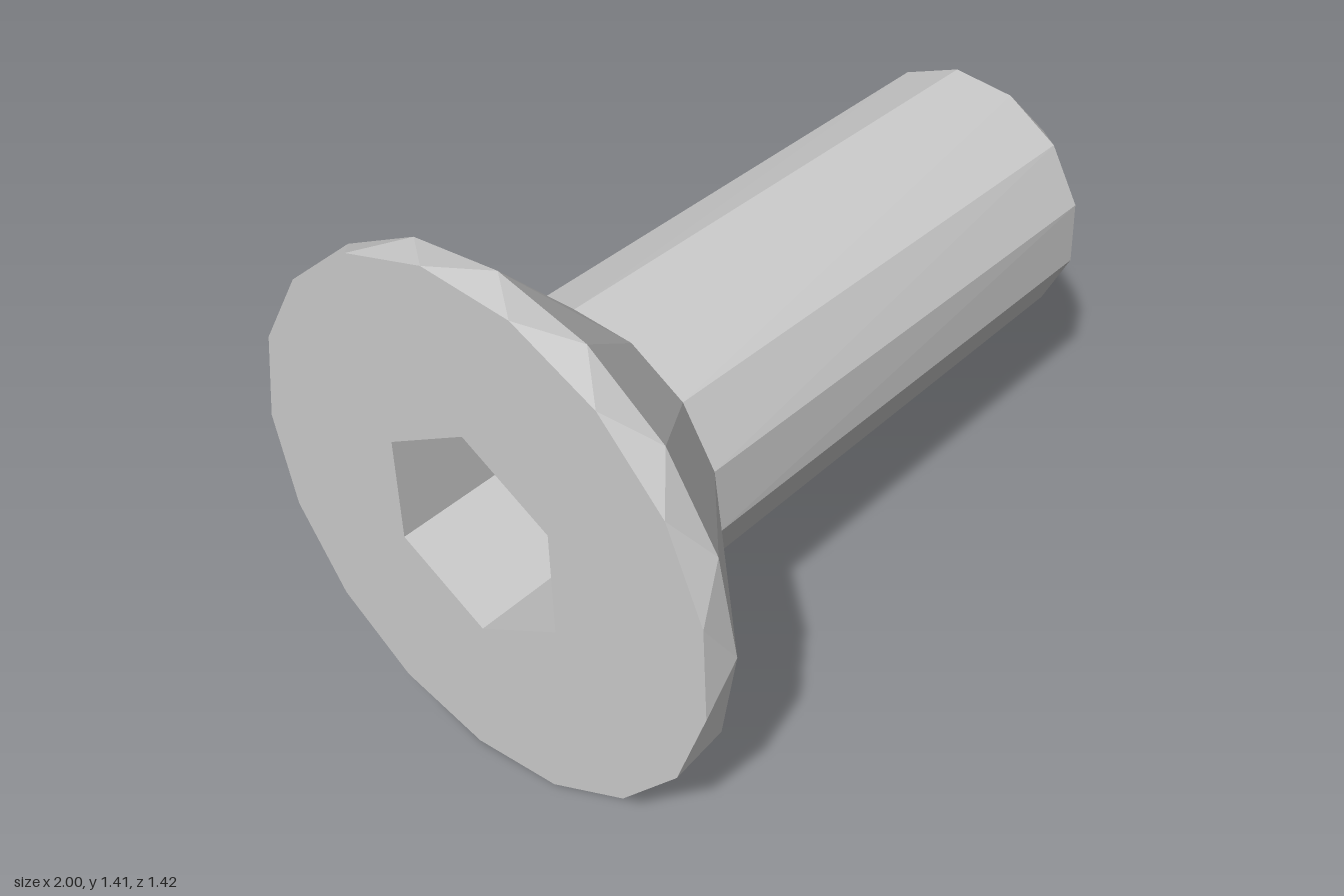
import * as THREE from 'three';
import { mergeGeometries } from 'three/addons/utils/BufferGeometryUtils.js';

const AXIS_Y = 0.71;

// Regular polygon around the screw axis; angles run from the top towards -z.
function ring(x, radius, count, phaseDeg) {
  const points = [], angles = [];
  for (let i = 0; i <= count; i++) {
    const a = THREE.MathUtils.degToRad(phaseDeg) + (i / count) * Math.PI * 2;
    angles.push(a);
    points.push(new THREE.Vector3(x, AXIS_Y + radius * Math.cos(a), -radius * Math.sin(a)));
  }
  return { x, points, angles, count };
}

// Triangle band between two rings whose side counts may differ.
// Faces outward when a lies at smaller x than b, inward when swapped.
function bridge(a, b) {
  const corners = [];
  let i = 0, j = 0;
  while (i < a.count || j < b.count) {
    const stepA = j === b.count || (i < a.count && a.angles[i + 1] <= b.angles[j + 1]);
    if (stepA) {
      corners.push(a.points[i], b.points[j], a.points[i + 1]);
      i++;
    } else {
      corners.push(b.points[j], b.points[j + 1], a.points[i]);
      j++;
    }
  }
  const geometry = new THREE.BufferGeometry().setFromPoints(corners);
  geometry.computeVertexNormals();
  return geometry;
}

// Flat face filling a ring, facing +x (side = 1) or -x (side = -1).
function cap(outer, side, hole) {
  const flat = (r) => r.points.slice(0, r.count).map((p) => new THREE.Vector2(-side * p.z, p.y));
  const shape = new THREE.Shape(flat(outer));
  if (hole) shape.holes.push(new THREE.Path(flat(hole)));
  const geometry = new THREE.ShapeGeometry(shape).toNonIndexed();
  geometry.deleteAttribute('uv');
  return geometry.rotateY((side * Math.PI) / 2).translate(outer.x, 0, 0);
}

export function createModel() {
  const group = new THREE.Group();
  const material = new THREE.MeshStandardMaterial({ color: 0xcccccc, flatShading: true });
  const add = (name, parts) => {
    const mesh = new THREE.Mesh(mergeGeometries(parts), material);
    mesh.name = name;
    group.add(mesh);
  };

  const rimFront = ring(-1, 0.71, 17, 6);
  const rimBack = ring(-0.91, 0.71, 17, 16);
  const neck = ring(-0.575, 0.375, 13, 10);
  const shankEnd = ring(0.93, 0.375, 13, 8);
  const tip = ring(1, 0.31, 11, -7);
  const socketMouth = ring(-1, 0.289, 6, 0);
  const socketFloor = ring(-0.69, 0.289, 6, 0);

  // Countersunk head: flat face with hexagonal opening, narrow rim, cone
  add('head', [cap(rimFront, -1, socketMouth), bridge(rimFront, rimBack), bridge(rimBack, neck)]);

  // Hexagonal drive recess
  add('hexSocket', [bridge(socketFloor, socketMouth), cap(socketFloor, -1)]);

  // Shank with chamfered tip
  add('shank', [bridge(neck, shankEnd)]);
  add('chamferedTip', [bridge(shankEnd, tip), cap(tip, 1)]);

  return group;
}
